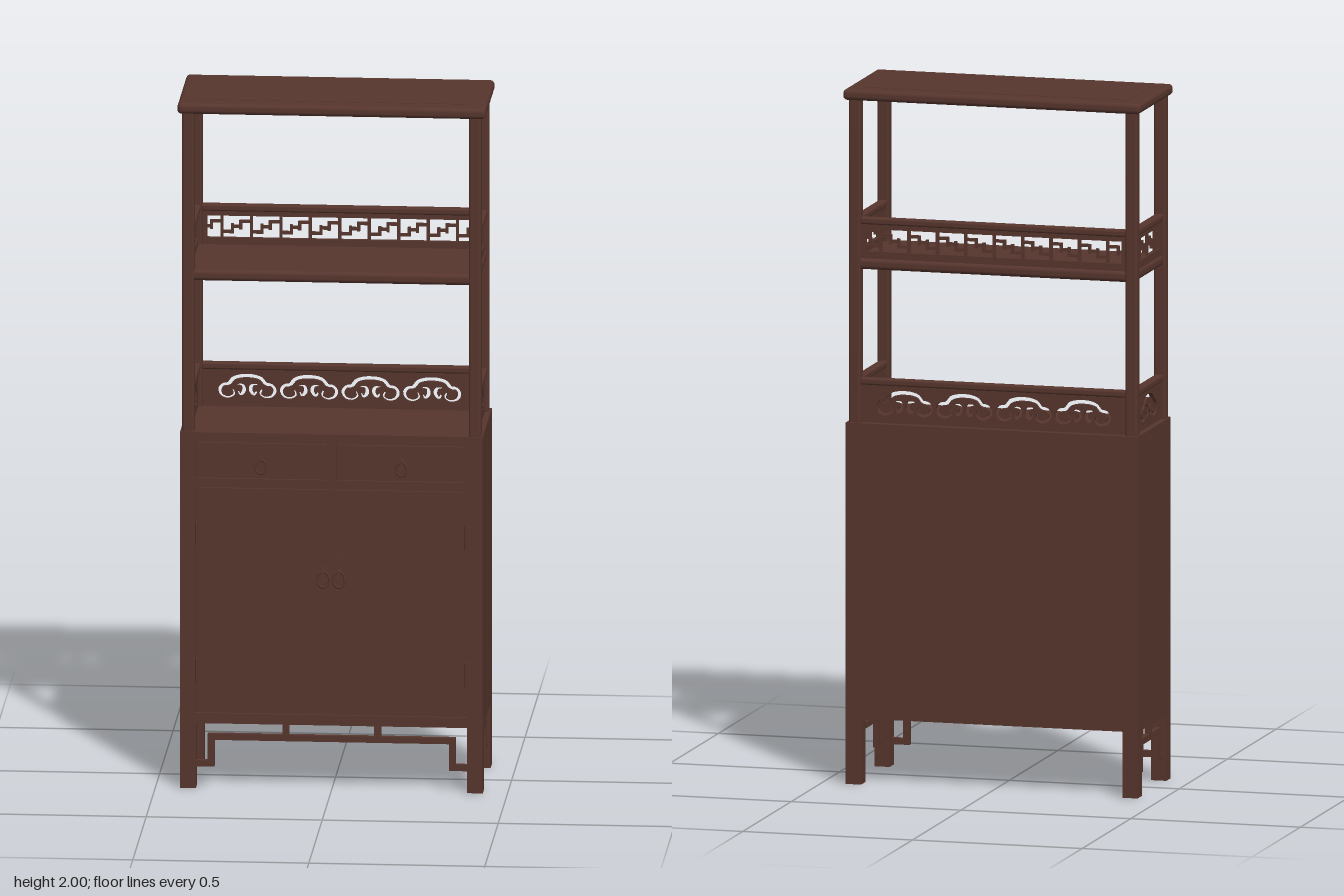
import * as THREE from 'three';
import { RoundedBoxGeometry } from 'three/addons/geometries/RoundedBoxGeometry.js';

const wood = new THREE.MeshStandardMaterial({ color: 0x56352d });
wood.name = 'dark brown wood';

const ZC = -0.0125; // depth centre of the cabinet body

function add(parent, name, geo, x = 0, y = 0, z = 0) {
  const m = new THREE.Mesh(geo, wood);
  m.name = name;
  m.position.set(x, y, z);
  parent.add(m);
  return m;
}

// box given by its extents
function box(parent, name, x0, x1, y0, y1, z0, z1, r = 0) {
  const s = [Math.abs(x1 - x0), Math.abs(y1 - y0), Math.abs(z1 - z0)];
  const geo = r ? new RoundedBoxGeometry(...s, 3, r) : new THREE.BoxGeometry(...s);
  return add(parent, name, geo, (x0 + x1) / 2, (y0 + y1) / 2, (z0 + z1) / 2);
}

// disc or barrel whose axis points forward
function disc(parent, name, r, x, y, z0, z1, start = 0, sweep = Math.PI * 2) {
  const g = new THREE.CylinderGeometry(r, r, z1 - z0, 28, 1, false, start, sweep);
  return add(parent, name, g.rotateX(Math.PI / 2), x, y, (z0 + z1) / 2);
}

function rectPath(x0, x1, y0, y1, P = THREE.Path) {
  return new P([[x0, y0], [x1, y0], [x1, y1], [x0, y1]].map(p => new THREE.Vector2(...p)));
}

// extruded board centred on its own plane
function board(shape, depth) {
  return new THREE.ExtrudeGeometry(shape, { depth, bevelEnabled: false }).translate(0, 0, -depth / 2);
}

// tapered slot that follows a smooth path
function slot(points, width) {
  const curve = new THREE.CatmullRomCurve3(points.map(p => new THREE.Vector3(p[0], p[1], 0)));
  const n = 44, a = [], b = [];
  for (let i = 0; i <= n; i++) {
    const t = i / n, p = curve.getPoint(t), d = curve.getTangent(t);
    const w = width * (0.35 + 0.65 * Math.sin(Math.PI * t)) / 2;
    a.push(new THREE.Vector2(p.x - d.y * w, p.y + d.x * w));
    b.unshift(new THREE.Vector2(p.x + d.y * w, p.y - d.x * w));
  }
  return new THREE.Path([...a, ...b]);
}

// scrolling cloud cut-out: lobed arch ending in two curls, with inner scrolls
function cloudHoles(cx, y0) {
  const at = (s, pts) => pts.map(([u, v]) => [cx + s * u * 0.08, y0 + v * 0.07]);
  const half = [[-0.52, 0.42], [-0.46, 0.22], [-0.65, 0.08], [-0.9, 0.16], [-0.98, 0.4],
    [-0.86, 0.6], [-0.66, 0.64], [-0.5, 0.86], [-0.25, 0.96]];
  const arch = [...half, [0, 0.98], ...half.map(([u, v]) => [-u, v]).reverse()];
  const scroll = [[-0.36, 0.62], [-0.16, 0.58], [-0.12, 0.36], [-0.24, 0.2], [-0.33, 0.34]];
  return [slot(at(1, arch), 0.0125), slot(at(1, scroll), 0.011), slot(at(-1, scroll), 0.011)];
}

// gallery board with cloud openings, standing on y = 0
function cloudGallery(length, count) {
  const g = new THREE.Group();
  const shape = rectPath(-length / 2, length / 2, 0, 0.112, THREE.Shape);
  for (let i = 0; i < count; i++) shape.holes.push(...cloudHoles((i - (count - 1) / 2) * 0.175, 0.02));
  add(g, 'cloudPanel', board(shape, 0.012));
  box(g, 'galleryRail', -length / 2, length / 2, 0.108, 0.128, -0.013, 0.013, 0.006);
  return g;
}

// gallery board with an open key-pattern lattice
function keyGallery(length, count) {
  const g = new THREE.Group();
  const w = length / 2 - 0.016, y0 = 0.022, h = 0.064, pitch = 2 * w / count, t = 0.0085;
  const shape = rectPath(-length / 2, length / 2, 0, 0.102, THREE.Shape);
  shape.holes.push(rectPath(-w, w, y0, y0 + h));
  add(g, 'latticeFrame', board(shape, 0.012));
  box(g, 'galleryRail', -length / 2, length / 2, 0.1, 0.12, -0.013, 0.013, 0.006);
  const bars = [[0.5, 0.5, 0, 1], [0.14, 0.5, 0.74, 0.74], [0.5, 0.86, 0.26, 0.26],
    [0.14, 0.14, 0.44, 0.74], [0.86, 0.86, 0.26, 0.56], [-0.14, 0.14, 0.5, 0.5]];
  for (let i = 0; i < count; i++) {
    for (const [u0, u1, v0, v1] of bars) {
      const x = -w + i * pitch;
      box(g, 'latticeBar', Math.max(-w, x + u0 * pitch - t / 2), x + u1 * pitch + t / 2,
        y0 + v0 * h - t / 2, y0 + v1 * h + t / 2, -0.004, 0.004);
    }
  }
  return g;
}

// stepped bracket apron between two legs
function apron(name, inner, drop, stubs) {
  const g = new THREE.Group();
  g.name = name;
  const d = 0.008;
  box(g, 'apronBar', -drop, drop, 0.14, 0.158, -d, d);
  for (const s of [-1, 1]) {
    box(g, 'apronDrop', s * drop, s * (drop - 0.019), 0.062, 0.15, -d, d);
    box(g, 'apronFoot', s * inner, s * (drop - 0.01), 0.062, 0.08, -d, d);
  }
  for (const x of stubs) box(g, 'apronStub', x - 0.01, x + 0.01, 0.15, 0.192, -d, d);
  return g;
}

// pin, small collar and hanging drop
function pull(parent, x, y, pinEnd, size) {
  disc(parent, 'pullCollar', 0.009, x, y, 0.158, 0.166);
  disc(parent, 'pullPin', 0.005, x, y, 0.158, pinEnd);
  const ring = add(parent, 'pullRing', new THREE.TorusGeometry(size, 0.003, 8, 24), x, y - size * 1.5, 0.171);
  ring.scale.y = 1.35;
  disc(parent, 'pullDrop', size * 0.55, x, y - size * 2.1, 0.169, 0.173);
}

function place(parent, child, name, x, y, z, ry) {
  child.name = name;
  child.position.set(x, y, z);
  child.rotation.y = ry;
  parent.add(child);
}

export function createModel() {
  const model = new THREE.Group();
  model.name = 'displayCabinet';
  const FZ = 0.158, BZ = -0.183, sides = [-1, 1];

  // cabinet body, with a front frame standing proud of the carcass
  const body = new THREE.Group();
  body.name = 'cabinetBody';
  model.add(body);
  box(body, 'carcass', -0.43, 0.43, 0.19, 1.04, BZ, 0.151);
  box(body, 'topRail', -0.387, 0.387, 1.012, 1.04, 0.15, FZ);
  box(body, 'middleRail', -0.387, 0.387, 0.88, 0.906, 0.15, FZ);
  box(body, 'bottomRail', -0.387, 0.387, 0.19, 0.22, 0.15, FZ);
  box(body, 'drawerDivider', -0.015, 0.015, 0.906, 1.012, 0.15, FZ);
  for (const s of sides) {
    box(body, 'frontStile', s * 0.387, s * 0.43, 0.19, 1.04, 0.15, FZ);
    box(body, 'drawerFront', s * 0.017, s * 0.385, 0.908, 1.01, 0.15, FZ);
    box(body, 'door', s * 0.001, s * 0.385, 0.222, 0.878, 0.15, FZ);
    box(body, 'frontLeg', s * 0.385, s * 0.43, 0, 0.19, FZ - 0.045, FZ);
    box(body, 'backLeg', s * 0.385, s * 0.43, 0, 0.19, BZ, BZ + 0.045);
  }

  // stepped aprons on the front and sides
  place(model, apron('', 0.387, 0.352, [-0.13, 0.13]), 'frontApron', 0, 0, 0.143, 0);
  for (const s of sides) {
    place(model, apron('', 0.128, 0.1, [0]), 'sideApron', s * 0.413, 0, ZC, Math.PI / 2);
  }

  // hinges, lock plate and pulls
  const hardware = new THREE.Group();
  hardware.name = 'hardware';
  model.add(hardware);
  for (const s of sides) {
    for (const y of [0.345, 0.745]) {
      disc(hardware, 'hingePlate', 0.034, s * 0.383, y, 0.156, 0.161);
      add(hardware, 'hingeBarrel', new THREE.CylinderGeometry(0.004, 0.004, 0.07, 12), s * 0.383, y, 0.163);
    }
    disc(hardware, 'lockPlate', 0.067, s * 0.001, 0.625, 0.156, 0.162, s > 0 ? 0 : Math.PI, Math.PI);
    disc(hardware, 'lockStud', 0.008, s * 0.022, 0.672, 0.158, 0.166);
    pull(hardware, s * 0.022, 0.645, 0.187, 0.017);
    disc(hardware, 'drawerPlate', 0.019, s * 0.2, 0.97, 0.156, 0.161);
    pull(hardware, s * 0.2, 0.968, 0.177, 0.015);
  }

  // open shelving: posts, middle shelf and capping board
  const shelves = new THREE.Group();
  shelves.name = 'openShelves';
  model.add(shelves);
  const pz = [0.138, -0.156];
  for (const s of sides) {
    for (const z of pz) {
      box(shelves, 'post', s * 0.39, s * 0.425, 1.035, 1.975, z - 0.017, z + 0.017, 0.007);
    }
  }
  box(shelves, 'middleShelf', -0.418, 0.418, 1.48, 1.512, -0.17, 0.152, 0.012);
  box(shelves, 'topBoard', -0.438, 0.438, 1.968, 1.999, -0.19, 0.161, 0.012);
  box(shelves, 'topPanel', -0.39, 0.39, 1.998, 2, -0.14, 0.107);

  // galleries around the back and sides
  const gz = (pz[0] + pz[1]) / 2;
  place(shelves, cloudGallery(0.785, 4), 'backCloudGallery', 0, 1.04, pz[1], 0);
  place(shelves, keyGallery(0.785, 9), 'backKeyGallery', 0, 1.51, pz[1], 0);
  for (const s of sides) {
    place(shelves, cloudGallery(0.264, 1), 'sideCloudGallery', s * 0.407, 1.04, gz, Math.PI / 2);
    place(shelves, keyGallery(0.264, 3), 'sideKeyGallery', s * 0.407, 1.51, gz, Math.PI / 2);
  }
  return model;
}
